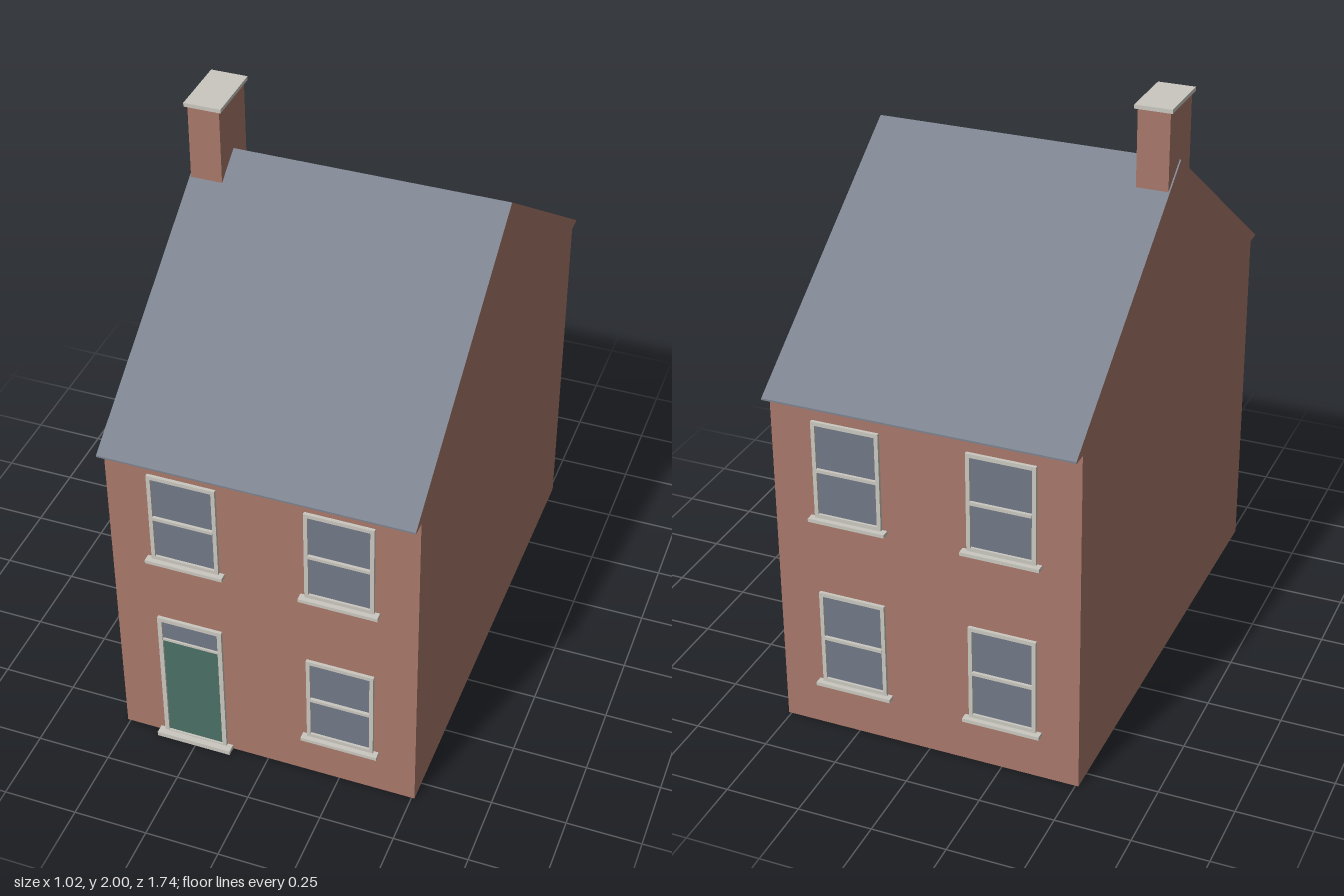
import * as THREE from 'three';

const mat = (name, color) => new THREE.MeshStandardMaterial({ name, color });

export function createModel() {
  const brick = mat('brick', 0xa8786a);
  const slate = mat('slate', 0x7c838f);
  const stone = mat('pale stone', 0xc9c7bf);
  const glass = mat('window glass', 0x727986);
  const green = mat('door green', 0x4a6f66);

  const W = 1.02, WALL_Z = 0.82, EAVE_Z = 0.87, EAVE_Y = 1.19, RIDGE_Y = 1.8;
  const house = new THREE.Group();
  house.name = 'house';

  // Box given by its limits on each axis
  function box(parent, name, material, x0, x1, y0, y1, z0, z1) {
    const mesh = new THREE.Mesh(new THREE.BoxGeometry(x1 - x0, y1 - y0, z1 - z0), material);
    mesh.position.set((x0 + x1) / 2, (y0 + y1) / 2, (z0 + z1) / 2);
    mesh.name = name;
    parent.add(mesh);
    return mesh;
  }

  // Rectangular surround with an opening, standing on the wall plane
  function frame(parent, name, w, y0, y1, border, depth) {
    const shape = new THREE.Shape();
    shape.moveTo(-w / 2, y0).lineTo(w / 2, y0).lineTo(w / 2, y1).lineTo(-w / 2, y1).closePath();
    const hole = new THREE.Path();
    const i = w / 2 - border;
    hole.moveTo(-i, y0 + border).lineTo(-i, y1 - border).lineTo(i, y1 - border).lineTo(i, y0 + border).closePath();
    shape.holes.push(hole);
    const mesh = new THREE.Mesh(new THREE.ExtrudeGeometry(shape, { depth, bevelEnabled: false }), stone);
    mesh.name = name;
    parent.add(mesh);
  }

  // Sash window: base at the sill top, facing +z from the wall
  function sashWindow(name) {
    const g = new THREE.Group();
    g.name = name;
    frame(g, 'windowFrame', 0.226, 0, 0.338, 0.013, 0.011);
    box(g, 'windowGlass', glass, -0.1, 0.1, 0.013, 0.325, 0, 0.003);
    box(g, 'meetingRail', stone, -0.1, 0.1, 0.163, 0.174, 0.001, 0.013);
    box(g, 'windowSill', stone, -0.13, 0.13, -0.012, 0, 0, 0.027);
    return g;
  }

  // Front door with fanlight and step
  function frontDoor() {
    const g = new THREE.Group();
    g.name = 'frontDoor';
    frame(g, 'doorFrame', 0.222, 0.005, 0.532, 0.015, 0.011);
    box(g, 'doorLeaf', green, -0.096, 0.096, 0.015, 0.434, 0, 0.004);
    box(g, 'transomBar', stone, -0.096, 0.096, 0.434, 0.442, 0.001, 0.009);
    box(g, 'fanlight', glass, -0.096, 0.096, 0.442, 0.517, 0, 0.003);
    box(g, 'doorStep', stone, -0.13, 0.13, 0, 0.016, 0, 0.032);
    return g;
  }

  // Walls
  box(house, 'walls', brick, -W / 2, W / 2, 0, EAVE_Y, -WALL_Z, WALL_Z);

  // Roof prism: brick gables, slate slopes and soffit
  const gable = new THREE.Shape();
  gable.moveTo(-EAVE_Z, EAVE_Y).lineTo(EAVE_Z, EAVE_Y).lineTo(EAVE_Z, EAVE_Y + 0.006)
    .lineTo(0, RIDGE_Y).lineTo(-EAVE_Z, EAVE_Y + 0.006).closePath();
  const roof = new THREE.Mesh(
    new THREE.ExtrudeGeometry(gable, { depth: W, bevelEnabled: false }), [brick, slate]);
  roof.rotation.y = Math.PI / 2;
  roof.position.x = -W / 2;
  roof.name = 'roof';
  house.add(roof);

  // Chimney on the ridge
  box(house, 'chimneyStack', brick, -0.505, -0.4, 1.7, 1.988, -0.1, 0.1);
  box(house, 'chimneyCap', stone, -0.514, -0.391, 1.987, 2, -0.109, 0.109);

  // Windows and door on both facades
  const COL = 0.256;
  for (const side of [1, -1]) {
    const facade = new THREE.Group();
    facade.name = side > 0 ? 'frontFacade' : 'backFacade';
    for (const x of [-COL, COL]) {
      for (const y of [0.172, 0.788]) {
        const isDoor = side > 0 && x < 0 && y < 0.5;
        const part = isDoor ? frontDoor() : sashWindow('sashWindow');
        part.position.set(x, isDoor ? 0 : y, WALL_Z);
        facade.add(part);
      }
    }
    if (side < 0) facade.rotation.y = Math.PI;
    house.add(facade);
  }
  return house;
}
